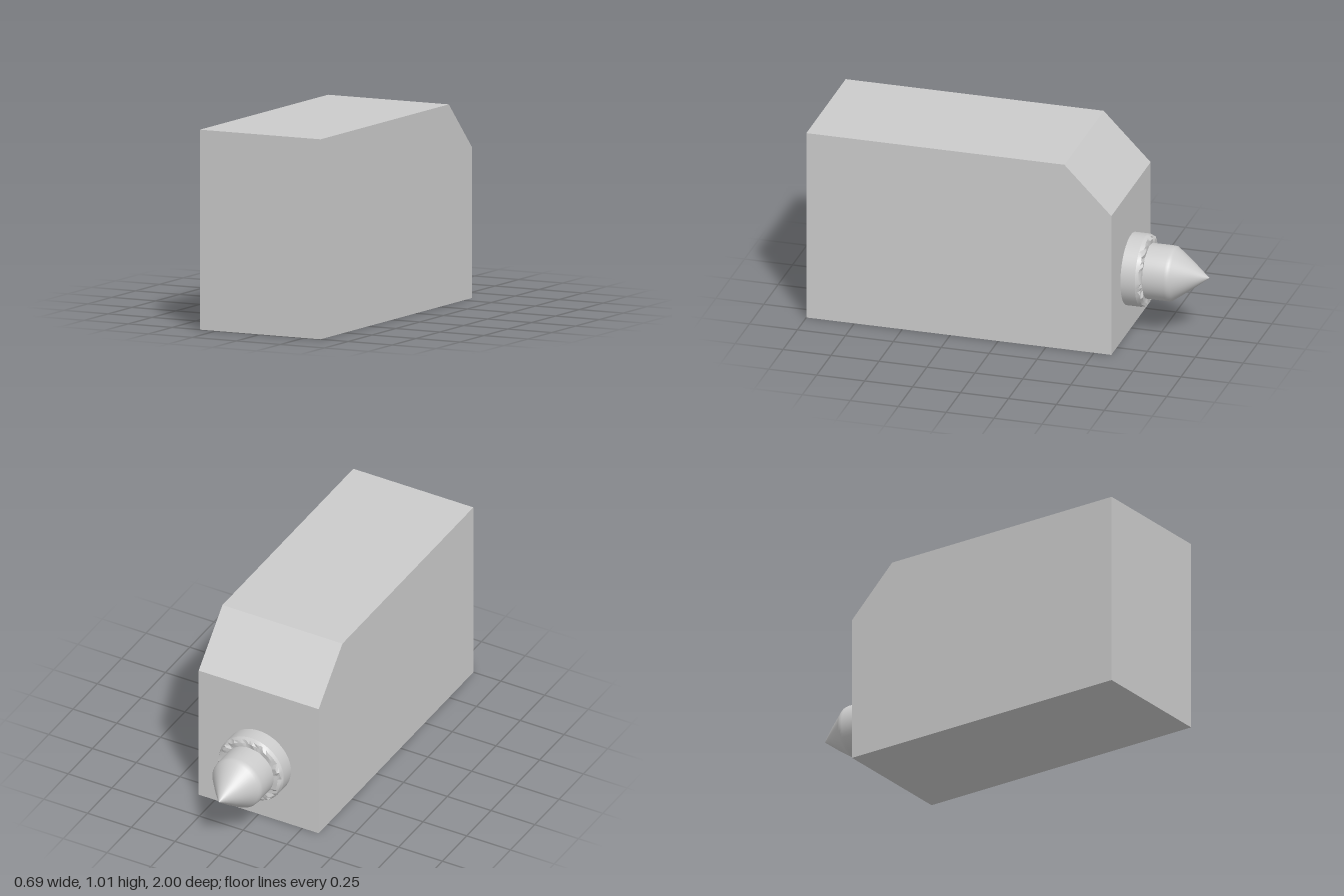
import * as THREE from 'three';
import { toCreasedNormals } from 'three/addons/utils/BufferGeometryUtils.js';

const HALF_WIDTH = 0.343, HEIGHT = 1.01, BACK = -0.59, NOZZLE_Y = 0.326;

// Surface turned about the nozzle axis; profile points are [radius, distance behind the back wall]
function turned(profile, segments) {
  return new THREE.LatheGeometry(profile.map(([r, d]) => new THREE.Vector2(r, d)), segments);
}

export function createModel() {
  const model = new THREE.Group();
  const material = new THREE.MeshStandardMaterial({ color: 0xcccccc });
  const add = (parent, name, geometry) => {
    const mesh = new THREE.Mesh(geometry, material);
    mesh.name = name;
    parent.add(mesh);
  };

  // Block with a chamfered upper back edge, drawn in side profile (z, y)
  const side = new THREE.Shape([
    [1, 0], [1, HEIGHT], [-0.345, HEIGHT], [BACK, 0.76], [BACK, 0],
  ].map(([z, y]) => new THREE.Vector2(z, y)));
  const block = new THREE.ExtrudeGeometry(side, { depth: HALF_WIDTH * 2, bevelEnabled: false });
  block.rotateY(-Math.PI / 2).translate(HALF_WIDTH, 0, 0);
  add(model, 'body', block);

  // Nozzle pointing out of the back wall
  const nozzle = new THREE.Group();
  nozzle.name = 'nozzle';
  nozzle.position.set(0, NOZZLE_Y, BACK);
  nozzle.rotation.x = -Math.PI / 2;
  model.add(nozzle);

  add(nozzle, 'collar', turned([[0.185, 0], [0.185, 0.075]], 48));

  // Rough rim of the collar: inner rows of the ring are moved in and out irregularly
  const rim = turned([[0.185, 0.075], [0.178, 0.092], [0.163, 0.1], [0.138, 0.1]], 48);
  const p = rim.attributes.position;
  for (let i = 0; i < p.count; i++) {
    const row = i % 4;
    if (row === 0 || row === 3) continue;
    const a = Math.atan2(p.getZ(i), p.getX(i));
    const wobble = Math.sin(11 * a + row) + 0.7 * Math.sin(17 * a + 2 * row);
    const scale = 1 + 0.02 * wobble * (row - 1);
    p.setXYZ(i, p.getX(i) * scale, p.getY(i) + 0.005 * wobble, p.getZ(i) * scale);
  }
  add(nozzle, 'roughRim', toCreasedNormals(rim, 0.4));

  // Barrel with a softened shoulder running into the pointed tip
  add(nozzle, 'barrelAndTip', turned([
    [0.141, 0.08], [0.141, 0.15], [0.141, 0.21], [0.139, 0.226], [0.131, 0.238], [0.07, 0.322], [0, 0.41],
  ], 48));

  return model;
}
